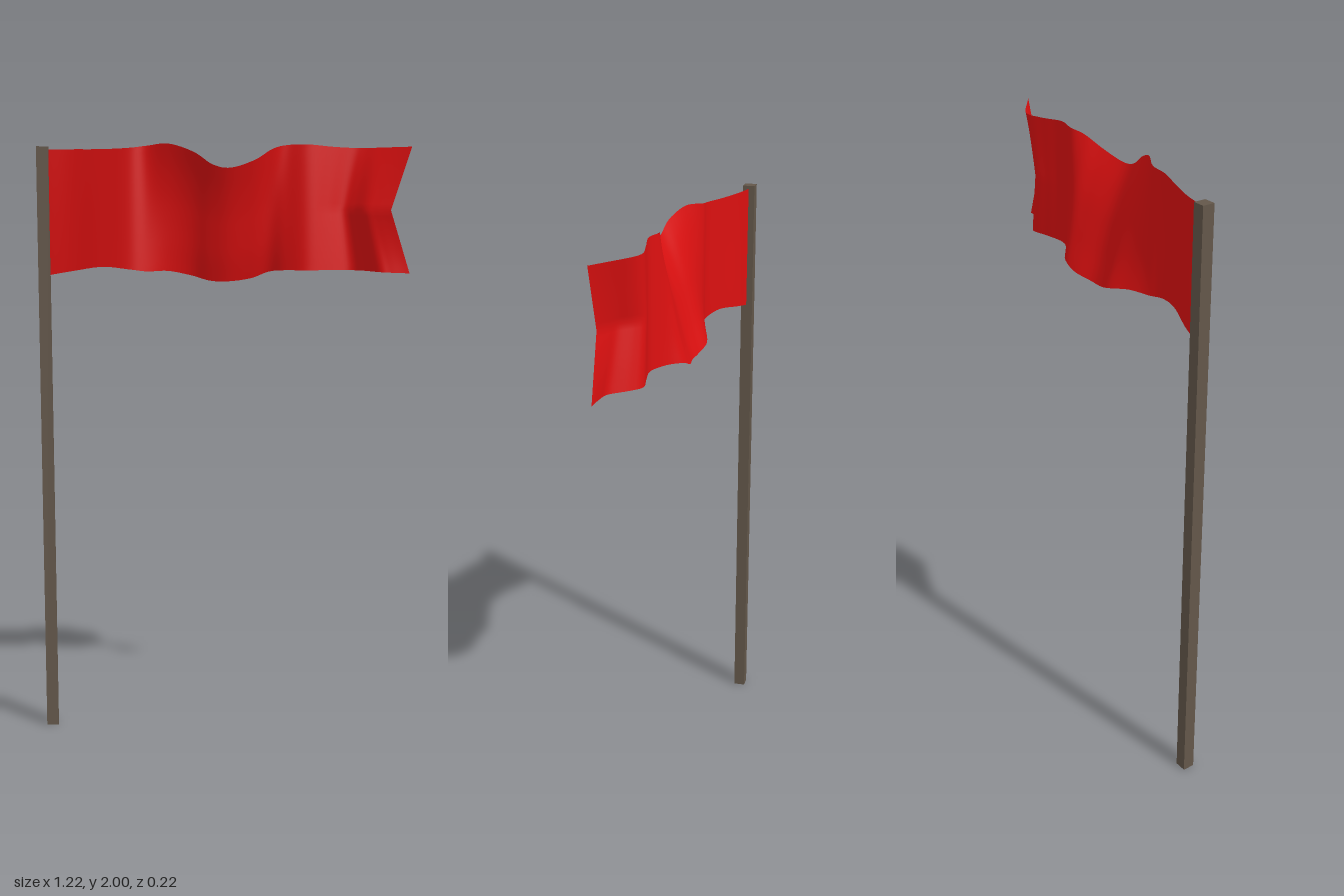
import * as THREE from 'three';

// Stations along the cloth: x, top edge y, top edge z, bottom edge y, bottom edge z
const STATIONS = [
  [-0.585, 1.985, -0.097, 1.57, -0.097],
  [-0.5, 1.986, -0.08, 1.585, -0.074],
  [-0.4, 1.985, -0.043, 1.6, -0.035],
  [-0.31, 1.988, -0.012, 1.592, -0.008],
  [-0.25, 1.995, -0.01, 1.585, -0.017],
  [-0.18, 2.0, 0.03, 1.586, -0.04],
  [-0.1, 1.972, 0.064, 1.57, -0.062],
  [-0.04, 1.932, 0.077, 1.553, -0.05],
  [0.02, 1.922, 0.079, 1.55, -0.044],
  [0.1, 1.948, 0.06, 1.56, -0.055],
  [0.16, 1.984, 0.032, 1.582, -0.05],
  [0.21, 1.998, 0.012, 1.588, -0.01],
  [0.28, 2.0, 0.026, 1.588, 0.024],
  [0.36, 1.994, 0.012, 1.589, 0.015],
  [0.43, 1.991, 0.0, 1.588, 0.004],
  [0.47, 1.99, 0.01, 1.587, 0.035],
  [0.51, 1.99, 0.036, 1.584, 0.09],
  [0.55, 1.99, 0.066, 1.582, 0.103],
  [0.609, 1.99, 0.11, 1.58, 0.109],
];

const smoothCurve = (points) => new THREE.CatmullRomCurve3(points, false, 'catmullrom', 0.5);

// Cloth as a grid between its top and bottom edges
function clothGeometry(cols, rows) {
  const top = smoothCurve(STATIONS.map(([x, y, z]) => new THREE.Vector3(x, y, z)));
  const bottom = smoothCurve(STATIONS.map(([x, , , y, z]) => new THREE.Vector3(x, y, z)));
  // How the cloth leans from the top edge (0) to the bottom edge (1)
  const lean = smoothCurve([[0, 0], [0.2, 0.25], [0.4, 0.46], [0.6, 0.63], [0.8, 0.8], [1, 1]]
    .map(([t, w]) => new THREE.Vector3(t, w, 0)));

  const geometry = new THREE.PlaneGeometry(1, 1, cols, rows);
  const pos = geometry.attributes.position;
  for (let r = 0; r <= rows; r++) {
    const t = r / rows;
    const w = lean.getPoint(t).y;
    for (let c = 0; c <= cols; c++) {
      const a = top.getPoint(c / cols);
      const b = bottom.getPoint(c / cols);
      // V-shaped notch cut into the free end
      const ramp = THREE.MathUtils.clamp((a.x - 0.3) / 0.305, 0, 1);
      const notch = 0.066 * ramp * (1 - Math.abs(2 * t - 1));
      pos.setXYZ(r * (cols + 1) + c,
        a.x - notch,
        THREE.MathUtils.lerp(a.y, b.y, t),
        THREE.MathUtils.lerp(a.z, b.z, w));
    }
  }
  geometry.computeVertexNormals();
  return geometry;
}

export function createModel() {
  const model = new THREE.Group();
  model.name = 'flag';

  const wood = new THREE.MeshStandardMaterial({ color: 0x63574a });
  wood.name = 'brown wood';
  const redCloth = new THREE.MeshStandardMaterial({ color: 0xdd1010, side: THREE.DoubleSide });
  redCloth.name = 'red cloth';

  // Square pole
  const pole = new THREE.Mesh(new THREE.BoxGeometry(0.04, 1.995, 0.04), wood);
  pole.name = 'pole';
  pole.position.set(-0.593, 0.9975, -0.095);
  model.add(pole);

  // Waving banner
  const banner = new THREE.Mesh(clothGeometry(108, 20), redCloth);
  banner.name = 'banner';
  model.add(banner);

  return model;
}
